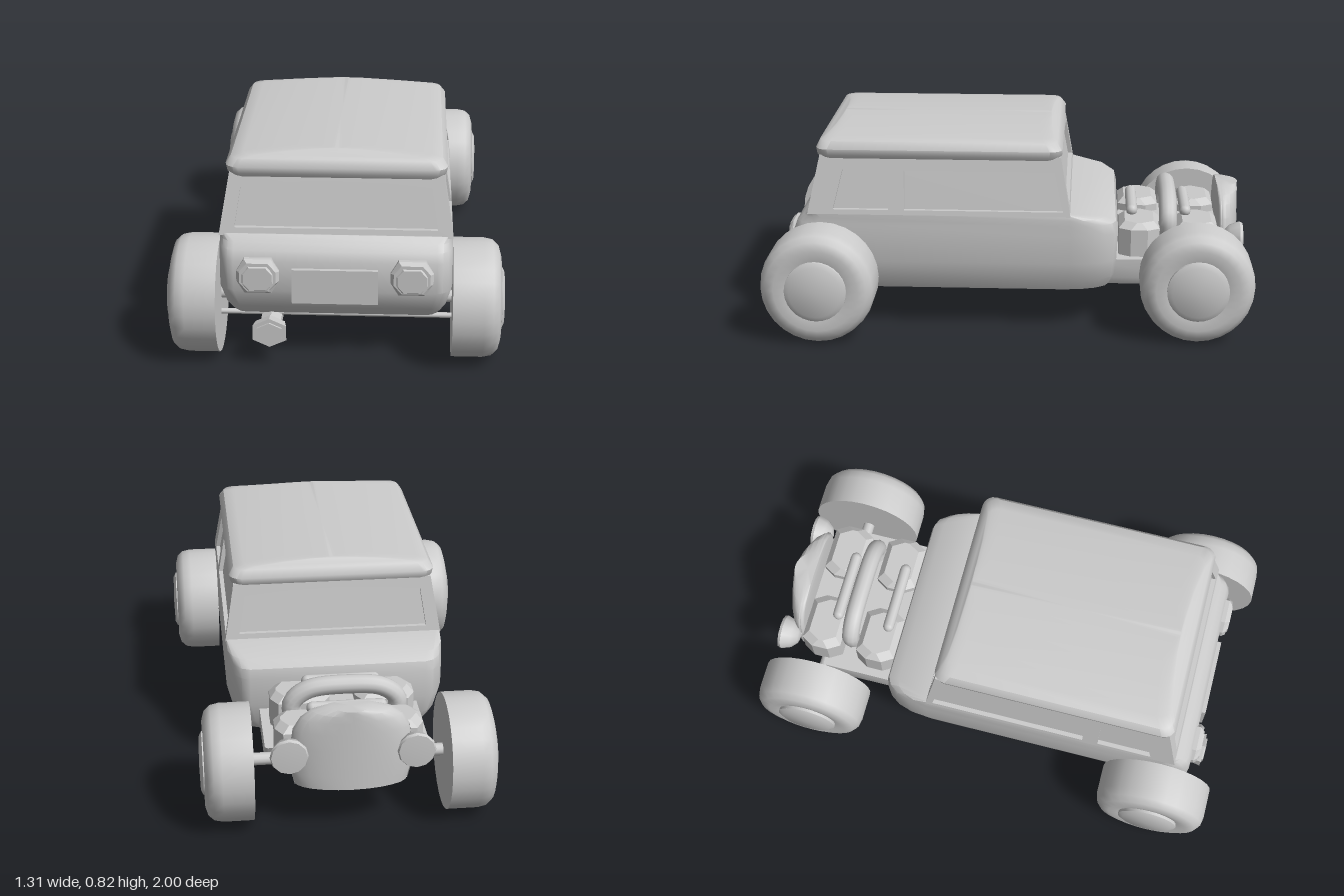
import * as THREE from 'three';
import { toCreasedNormals } from 'three/addons/utils/BufferGeometryUtils.js';

const mat = new THREE.MeshStandardMaterial({ color: 0xcccccc });

// Rounded rectangle in plan; back = corner radii [rx, rz] at +z, front = at -z
function ring(hx, z0, z1, back, front, n = 4) {
  const pts = [];
  for (let q = 0; q < 4; q++) {
    const sx = q === 0 || q === 3 ? 1 : -1;
    const [rx, rz] = q < 2 ? back : front;
    const cz = q < 2 ? z1 - rz : z0 + rz;
    for (let i = 0; i <= n; i++) {
      const a = (q + i / n) * Math.PI / 2;
      pts.push([sx * (hx - rx) + Math.cos(a) * rx, cz + Math.sin(a) * rz]);
    }
  }
  return pts;
}

// Closed solid through rings stacked in y: layers = [[y, ring], ...]
function loft(layers, crease = 0.6) {
  const pos = [], idx = [], n = layers[0][1].length, last = layers.length - 1;
  for (const [y, r] of layers) for (const [x, z] of r) pos.push(x, y, z);
  for (let i = 0; i < last; i++) for (let j = 0; j < n; j++) {
    const k = (j + 1) % n, a = i * n + j, b = a + n, c = (i + 1) * n + k, d = i * n + k;
    idx.push(a, b, c, a, c, d);
  }
  for (const i of [0, last]) {
    const [y, r] = layers[i], m = pos.length / 3;
    const mid = r.reduce((s, p) => s + p[1], 0) / n;
    pos.push(0, y, mid);
    for (let j = 0; j < n; j++) {
      const a = i * n + j, b = i * n + (j + 1) % n;
      if (i === 0) idx.push(m, a, b); else idx.push(m, b, a);
    }
  }
  const g = new THREE.BufferGeometry();
  g.setAttribute('position', new THREE.Float32BufferAttribute(pos, 3));
  g.setIndex(idx);
  return toCreasedNormals(g, crease);
}

const toPath = (pts, s, C) => new C(pts.map(([u, y]) => new THREE.Vector2(u * s, y)));

// Leaning wall with window openings, turned to face the given angle
function wall(outline, windows, dist, lean, angle, s = 1) {
  const shape = toPath(outline, s, THREE.Shape);
  shape.holes = windows.map(w => toPath(w, s, THREE.Path));
  const g = new THREE.ExtrudeGeometry(shape, { depth: 0.025, bevelEnabled: false });
  const p = g.attributes.position;
  for (let i = 0; i < p.count; i++) p.setZ(i, p.getZ(i) - 0.025 + dist - lean * (p.getY(i) - 0.5));
  g.rotateY(angle);
  g.computeVertexNormals();
  return g;
}

export function createModel() {
  const model = new THREE.Group();
  const add = (name, geo, x = 0, y = 0, z = 0) => {
    const m = new THREE.Mesh(geo, mat);
    m.name = name;
    m.position.set(x, y, z);
    model.add(m);
    return m;
  };

  // Lower body with tapered cowl at -z
  const bc = [0.06, 0.08], fc = [0.09, 0.19];
  add('body', loft([
    [0.175, ring(0.41, -0.41, 0.82, bc, fc)],
    [0.22, ring(0.43, -0.43, 0.86, bc, fc)],
    [0.3, ring(0.45, -0.44, 0.89, bc, fc)],
    [0.42, ring(0.45, -0.445, 0.885, bc, fc)],
    [0.46, ring(0.45, -0.435, 0.87, bc, fc)],
    [0.485, ring(0.45, -0.39, 0.845, bc, [0.08, 0.14])],
    [0.508, ring(0.448, -0.25, 0.82, [0.03, 0.03], [0.02, 0.02])],
  ]));

  // Cabin: glass core inside window frames
  const sq = [0.01, 0.01];
  add('glass', loft([
    [0.49, ring(0.434, -0.234, 0.804, sq, sq, 1)],
    [0.74, ring(0.39, -0.19, 0.75, sq, sq, 1)],
  ]));
  const sideOutline = [[-0.25, 0.5], [0.82, 0.5], [0.767, 0.74], [-0.208, 0.74]];
  const sideWindows = [
    [[0.715, 0.52], [0.49, 0.52], [0.49, 0.68], [0.675, 0.68]],
    [[0.425, 0.52], [-0.22, 0.52], [-0.185, 0.68], [0.425, 0.68]],
  ];
  add('leftWindowFrame', wall(sideOutline, sideWindows, 0.45, 0.17, Math.PI / 2, -1));
  add('rightWindowFrame', wall(sideOutline, sideWindows, 0.45, 0.17, -Math.PI / 2));
  const endOutline = [[-0.45, 0.5], [0.45, 0.5], [0.409, 0.74], [-0.409, 0.74]];
  const endWindow = [[-0.39, 0.53], [0.39, 0.53], [0.365, 0.69], [0.2, 0.705], [0, 0.71], [-0.2, 0.705], [-0.365, 0.69]];
  add('backWindowFrame', wall(endOutline, [endWindow], 0.82, 0.22, 0));
  add('windscreenFrame', wall(endOutline, [endWindow], 0.25, 0.17, Math.PI));

  // Crowned roof with a rolled edge
  const rc = [0.05, 0.05], tight = [0.015, 0.015];
  add('roof', loft([
    [0.715, ring(0.405, -0.195, 0.765, rc, rc)],
    [0.74, ring(0.42, -0.213, 0.782, rc, rc)],
    [0.765, ring(0.425, -0.215, 0.785, rc, rc)],
    [0.795, ring(0.405, -0.195, 0.77, rc, rc)],
    [0.803, ring(0.36, -0.18, 0.75, rc, rc)],
    [0.814, ring(0.24, -0.17, 0.73, rc, rc)],
    [0.822, ring(0.12, -0.165, 0.72, rc, rc)],
    [0.825, ring(0.02, -0.16, 0.715, tight, tight)],
  ], 0.8));

  // Wheels: tyre and bulging hub in one profile
  const profile = [[0, 0], [0.233, 0], [0.233, 0.12], [0.226, 0.155], [0.205, 0.178], [0.17, 0.188],
    [0.125, 0.18], [0.125, 0.192], [0.105, 0.202], [0, 0.205]].map(p => new THREE.Vector2(...p));
  const wheelGeo = toCreasedNormals(new THREE.LatheGeometry(profile, 28).rotateZ(-Math.PI / 2), 0.7);
  for (const s of [1, -1]) for (const [name, x, z] of [['rearWheel', 0.45, 0.767], ['engineEndWheel', 0.38, -0.767]])
    add(name, wheelGeo, s * x, 0.233, z).rotation.y = s > 0 ? 0 : Math.PI;

  // Axles and chassis
  const rod = (r, len) => new THREE.CylinderGeometry(r, r, len, 12).rotateZ(Math.PI / 2);
  add('engineEndAxle', rod(0.025, 0.8), 0, 0.235, -0.76);
  add('rearAxle', rod(0.025, 0.94), 0, 0.235, 0.767);
  add('rearCrossBar', rod(0.011, 0.92), 0, 0.167, 0.8);
  add('chassisPan', loft([
    [0.168, ring(0.31, -0.55, -0.31, sq, sq, 1)],
    [0.2, ring(0.325, -0.72, -0.31, sq, sq, 1)],
    [0.28, ring(0.325, -0.76, -0.31, sq, sq, 1)],
  ]));

  // Engine block, chamfered cylinder heads and cross pipes
  add('engineBlock', new THREE.BoxGeometry(0.38, 0.17, 0.42), 0, 0.28, -0.66);
  const cut = [0.03, 0.05];
  const headGeo = loft([
    [0, ring(0.12, -0.085, 0.085, cut, cut, 1)],
    [0.12, ring(0.12, -0.085, 0.085, cut, cut, 1)],
    [0.145, ring(0.095, -0.06, 0.06, cut, cut, 1)],
  ], 0.2);
  for (const s of [1, -1]) for (const z of [-0.775, -0.535])
    add('cylinderHead', headGeo, s * 0.17, 0.275, z);
  for (const z of [-0.73, -0.505]) add('intakeBar', new THREE.CapsuleGeometry(0.024, 0.27, 4, 12).rotateZ(Math.PI / 2), 0, 0.435, z);
  const hoop = new THREE.CatmullRomCurve3([[-0.2, 0.34], [-0.21, 0.42], [-0.15, 0.475], [0, 0.492], [0.15, 0.475], [0.21, 0.42], [0.2, 0.34]]
    .map(([x, y]) => new THREE.Vector3(x, y, -0.655)));
  add('engineHoop', new THREE.TubeGeometry(hoop, 32, 0.038, 12));

  // Curved radiator shell
  const shell = [[0.19, 0.22], [0.25, 0.235], [0.36, 0.235], [0.43, 0.225], [0.48, 0.195], [0.51, 0.155], [0.53, 0.08]];
  add('radiator', loft(shell.map(([y, hx]) => [y, ring(hx, -0.955, -0.865, [0.02, 0.02], [hx, 0.08], 6)])));

  // Bowl headlamps on a cross bar
  const bowl = [[0, -0.075], [0.035, -0.065], [0.06, -0.04], [0.075, 0], [0.07, 0.012], [0, 0.016]].map(p => new THREE.Vector2(...p));
  const lampGeo = toCreasedNormals(new THREE.LatheGeometry(bowl, 12).rotateX(-Math.PI / 2), 0.7);
  for (const s of [1, -1]) add('headlamp', lampGeo, s * 0.245, 0.35, -0.95);
  add('headlampBar', rod(0.014, 0.48), 0, 0.35, -0.89);

  // Tail lamps: chamfered bezel with a raised lens
  const plate = (h, d) => loft([
    [0, ring(0.082, -0.07, 0.07, cut, cut, 1)],
    [h - 0.015, ring(0.082, -0.07, 0.07, cut, cut, 1)],
    [h, ring(0.07, -0.058, 0.058, [0.03, 0.035], [0.03, 0.035], 1)],
  ], 0.2).scale(d, 1, d).rotateX(Math.PI / 2);
  for (const s of [1, -1]) {
    add('tailLampBezel', plate(0.05, 1), s * 0.295, 0.365, 0.862);
    add('tailLampLens', plate(0.05, 0.8), s * 0.295, 0.36, 0.868);
  }
  add('rearPlate', new THREE.BoxGeometry(0.33, 0.14, 0.05), 0, 0.325, 0.878);

  // Exhaust with flared six-sided tip
  const hex = (r0, r1, len) => toCreasedNormals(
    new THREE.CylinderGeometry(r1, r0, len, 6).rotateY(Math.PI / 6).rotateX(Math.PI / 2).rotateZ(Math.PI / 2), 0.3);
  const turn = m => { m.scale.set(1, 0.8, 1); };
  turn(add('exhaustPipe', hex(0.045, 0.045, 0.22), -0.25, 0.145, 0.8));
  turn(add('exhaustTip', hex(0.065, 0.075, 0.05), -0.25, 0.145, 0.915));
  turn(add('exhaustMouth', hex(0.055, 0.055, 0.02), -0.25, 0.145, 0.938));
  return model;
}
